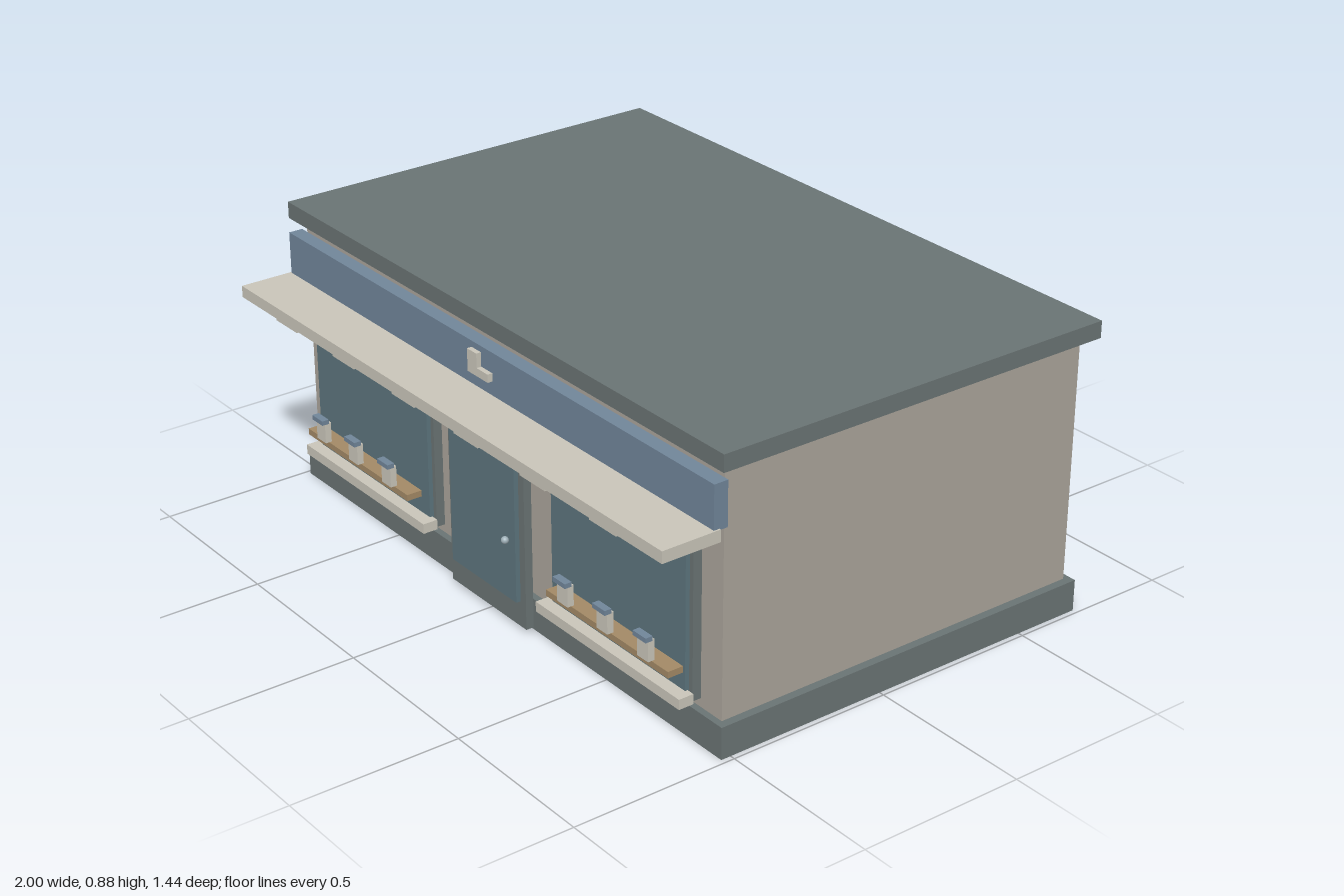
import * as THREE from 'three';

const mat = (color) => new THREE.MeshStandardMaterial({ color });

export function createModel() {
  const shop = new THREE.Group();
  shop.name = 'shop';

  const slate = mat(0x6a7474), plaster = mat(0xaba59b), blue = mat(0x71869a);
  const glass = mat(0x5d757e), cream = mat(0xcac6ba), wood = mat(0xa38a66), metal = mat(0x9fb0b8);

  // Box given by its extents on each axis
  const box = (name, material, [x0, x1], [y0, y1], [z0, z1], parent = shop) => {
    const mesh = new THREE.Mesh(new THREE.BoxGeometry(x1 - x0, y1 - y0, z1 - z0), material);
    mesh.position.set((x0 + x1) / 2, (y0 + y1) / 2, (z0 + z1) / 2);
    mesh.name = name;
    parent.add(mesh);
    return mesh;
  };

  // Building shell
  box('walls', plaster, [-0.96, 0.96], [0.002, 0.826], [-0.685, 0.51]);
  box('plinth', slate, [-0.985, 0.985], [0, 0.095], [-0.705, 0.53]);
  box('roof', slate, [-1, 1], [0.825, 0.875], [-0.72, 0.545]);

  // Fascia board with a boot-shaped ornament
  box('fascia', blue, [-0.98, 0.98], [0.66, 0.79], [0.515, 0.558]);
  const ornament = new THREE.Group();
  ornament.name = 'bootOrnament';
  shop.add(ornament);
  box('bootShaft', cream, [-0.034, 0.009], [0.74, 0.782], [0.57, 0.585], ornament);
  box('bootFoot', cream, [-0.034, 0.06], [0.716, 0.74], [0.57, 0.585], ornament);

  // Flat awning with thin strips on its underside
  box('awning', cream, [-0.985, 0.985], [0.629, 0.664], [0.54, 0.72]);
  for (let i = 0; i < 6; i++) {
    const x = -0.745 + i * 0.298;
    box('awningStrip', cream, [x - 0.055, x + 0.055], [0.623, 0.63], [0.542, 0.719]);
  }

  // Door
  box('doorFrame', slate, [-0.178, 0.178], [0.012, 0.588], [0.536, 0.56]);
  box('doorGlass', glass, [-0.153, 0.153], [0.09, 0.567], [0.555, 0.574]);
  const knob = new THREE.Mesh(new THREE.SphereGeometry(0.011, 16, 12), metal);
  knob.name = 'doorKnob';
  knob.position.set(0.117, 0.27, 0.582);
  shop.add(knob);

  // Display window on each side of the door
  for (const side of [-1, 1]) {
    const display = new THREE.Group();
    display.name = side > 0 ? 'leftWindow' : 'rightWindow';
    shop.add(display);
    const span = (centre, width) => [side * centre - width / 2, side * centre + width / 2];

    box('windowFrame', slate, span(0.58, 0.6), [0.125, 0.629], [0.514, 0.541], display);
    box('windowGlass', glass, span(0.58, 0.572), [0.15, 0.615], [0.53, 0.554], display);
    box('windowSill', cream, span(0.58, 0.62), [0.124, 0.154], [0.546, 0.592], display);
    box('shelf', wood, span(0.595, 0.524), [0.204, 0.223], [0.554, 0.602], display);

    // Goods on the shelf
    for (const x of [0.422, 0.595, 0.767]) {
      box('goodsBody', cream, span(x, 0.046), [0.223, 0.285], [0.593, 0.613], display);
      box('goodsTop', blue, span(x, 0.054), [0.284, 0.298], [0.602, 0.624], display);
    }
  }
  return shop;
}
